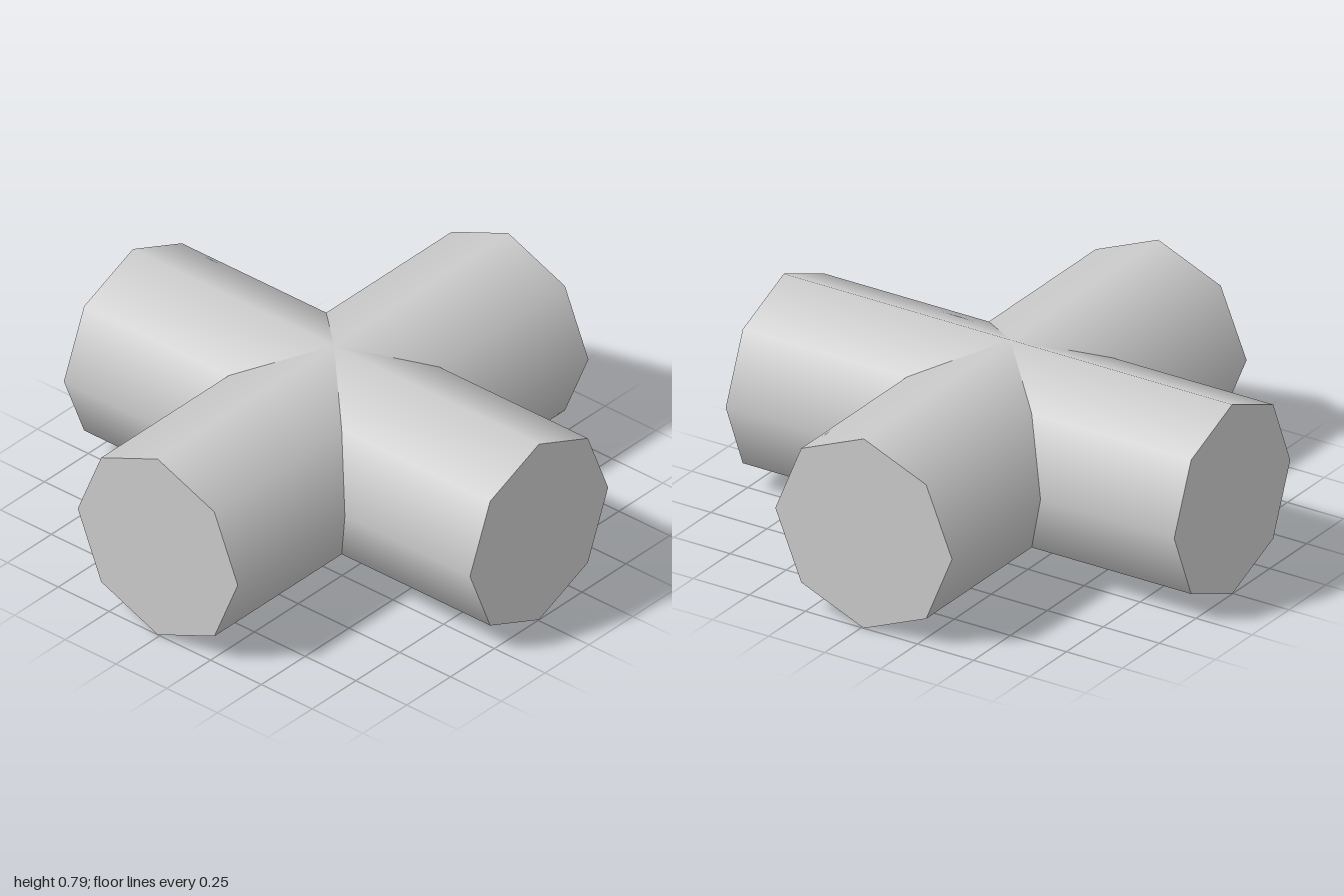
import * as THREE from 'three';

const RADIUS = 0.394;
const LENGTH = 2;
const SIDES = 8;

export function createModel() {
  const group = new THREE.Group();
  group.name = 'crossedCylinders';
  const material = new THREE.MeshStandardMaterial({ color: 0xcccccc });

  // One smooth-shaded eight-sided bar with flat end caps
  function addBar(name, axis, x, z) {
    const geometry = new THREE.CylinderGeometry(RADIUS, RADIUS, LENGTH, SIDES);
    if (axis === 'x') geometry.rotateZ(Math.PI / 2);
    else geometry.rotateX(Math.PI / 2);
    const bar = new THREE.Mesh(geometry, material);
    bar.name = name;
    bar.position.set(x, RADIUS, z);
    group.add(bar);
  }

  // The bars cross slightly off centre
  addBar('sidewaysBar', 'x', 0, -0.005);
  addBar('lengthwiseBar', 'z', -0.01, 0);

  return group;
}
